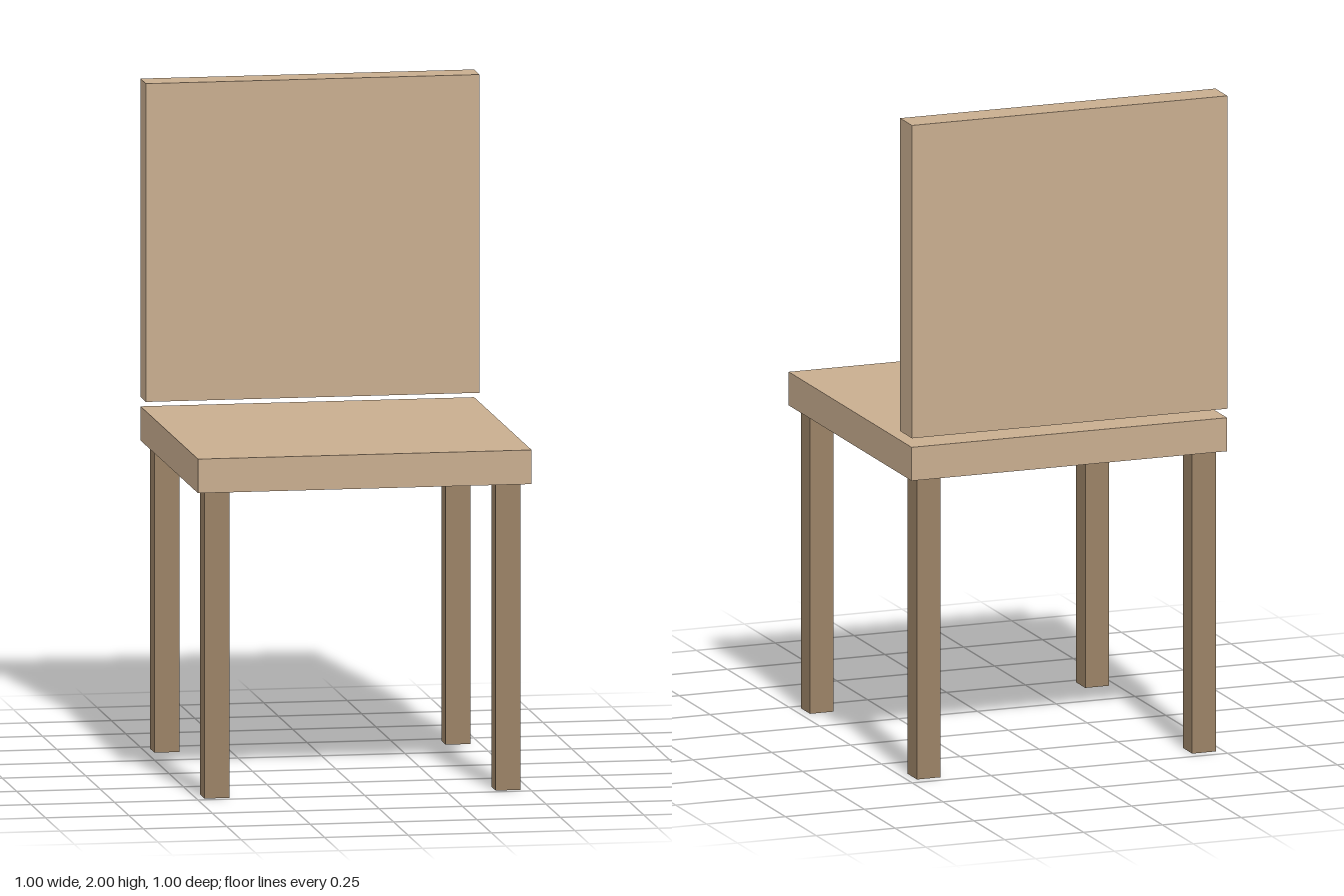
import * as THREE from 'three';

const lightWood = new THREE.MeshStandardMaterial({ color: 0xc8ad8f });
const darkWood = new THREE.MeshStandardMaterial({ color: 0x9a8266 });

// Box given by its size and centre
function box(name, size, centre, material) {
  const mesh = new THREE.Mesh(new THREE.BoxGeometry(...size), material);
  mesh.name = name;
  mesh.position.set(...centre);
  return mesh;
}

export function createModel() {
  const chair = new THREE.Group();
  chair.name = 'chair';

  // Seat slab
  chair.add(box('seat', [1, 0.102, 0.997], [0, 0.969, 0.003], lightWood));

  // Backrest, floating just above the rear edge of the seat
  chair.add(box('backrest', [1, 0.952, 0.096], [0, 1.524, -0.45], lightWood));

  // Four square legs
  const legHeight = 0.918;
  for (const [side, x] of [['Left', 0.434], ['Right', -0.439]]) {
    for (const [end, z] of [['front', 0.439], ['back', -0.428]]) {
      chair.add(box(`${end}${side}Leg`, [0.075, legHeight, 0.075], [x, legHeight / 2, z], darkWood));
    }
  }
  return chair;
}
